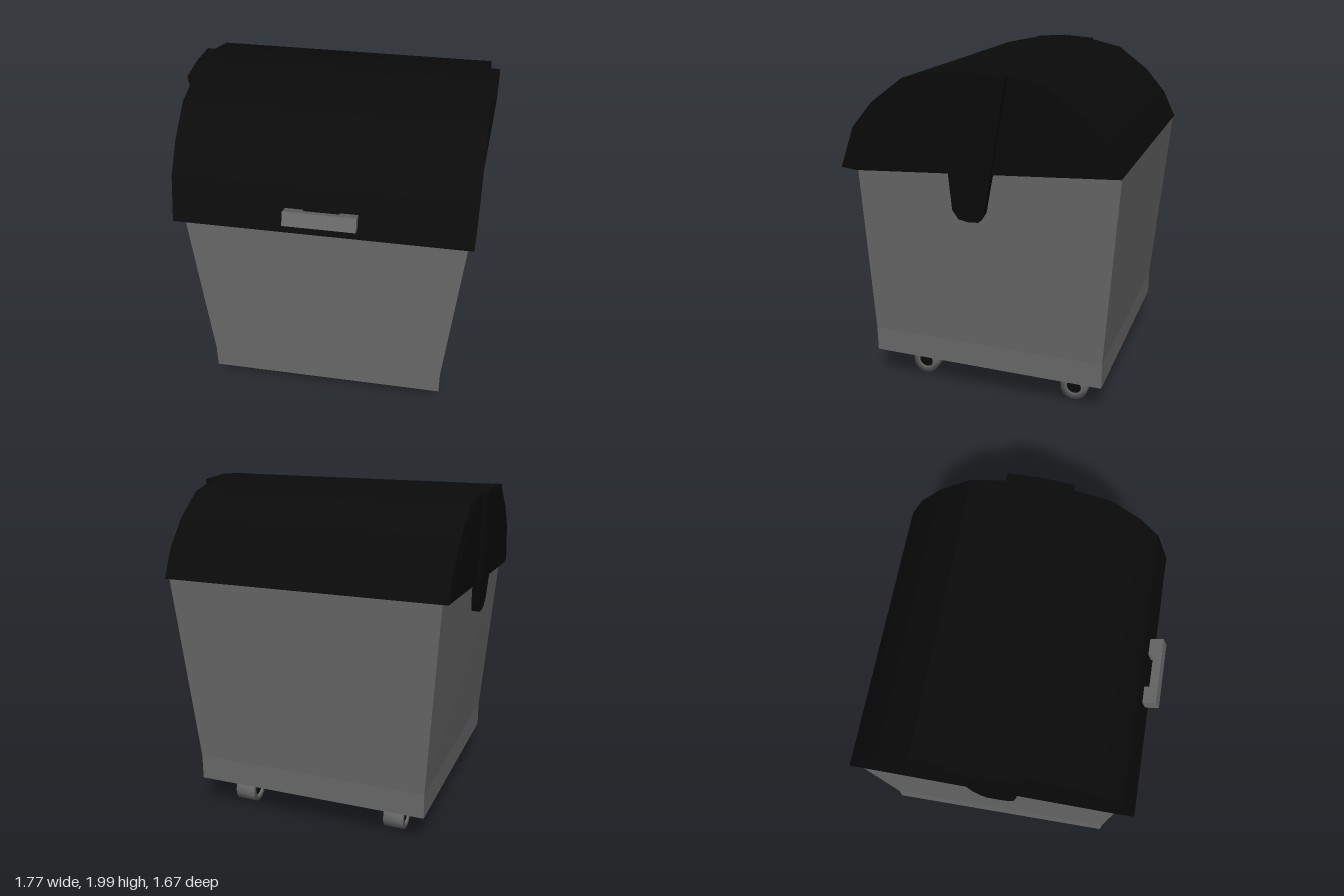
import * as THREE from 'three';

const grey = new THREE.MeshStandardMaterial({ color: 0x686868, flatShading: true });
const smoothGrey = new THREE.MeshStandardMaterial({ color: 0x686868 });
const black = new THREE.MeshStandardMaterial({ color: 0x0a0a0a, flatShading: true });

function add(parent, name, geometry, material, x = 0, y = 0, z = 0) {
  const mesh = new THREE.Mesh(geometry, material);
  mesh.name = name;
  mesh.position.set(x, y, z);
  parent.add(mesh);
  return mesh;
}

// Moves every vertex of a geometry by a rule
function reshape(geometry, rule) {
  const p = geometry.attributes.position;
  const v = new THREE.Vector3();
  for (let i = 0; i < p.count; i++) {
    rule(v.fromBufferAttribute(p, i));
    p.setXYZ(i, v.x, v.y, v.z);
  }
  geometry.computeVertexNormals();
  return geometry;
}

// Side profile of [z, y] points, extruded along x and centred on x = 0
function sideExtrude(points, width) {
  const shape = new THREE.Shape(points.map(([z, y]) => new THREE.Vector2(z, y)));
  const geometry = new THREE.ExtrudeGeometry(shape, { depth: width, bevelEnabled: false });
  return geometry.translate(0, 0, -width / 2).rotateY(-Math.PI / 2);
}

// Tapered tub: straight foot, flared walls, rim sloping up to the back
function bodyGeometry() {
  const rings = [
    { x: 0.71, front: 0.68, back: -0.745, yFront: 0.21, yBack: 0.21 },
    { x: 0.71, front: 0.681, back: -0.745, yFront: 0.36, yBack: 0.36 },
    { x: 0.8, front: 0.69, back: -0.835, yFront: 1.41, yBack: 1.495 },
  ];
  return reshape(new THREE.BoxGeometry(2, 2, 2, 1, 2, 1), (v) => {
    const r = rings[Math.round(v.y) + 1];
    const isFront = v.z > 0;
    v.set(Math.sign(v.x) * r.x, isFront ? r.yFront : r.yBack, isFront ? r.front : r.back);
  });
}

function addCaster(parent, x, z) {
  const caster = new THREE.Group();
  caster.name = 'caster';
  caster.position.set(x, 0, z);
  parent.add(caster);
  // Wheel ring with an open hub
  const ring = [[0.045, -0.06], [0.083, -0.06], [0.083, 0.06], [0.045, 0.06], [0.045, -0.06]];
  const profile = ring.map(([r, h]) => new THREE.Vector2(r, h));
  add(caster, 'wheel', new THREE.LatheGeometry(profile, 28).rotateZ(Math.PI / 2), smoothGrey, 0, 0.09, 0);
  add(caster, 'axle', new THREE.CylinderGeometry(0.046, 0.046, 0.1, 20).rotateZ(Math.PI / 2), black, 0, 0.09, 0);
  // Upright bracket with a short spur over the wheel
  const bracket = [[0.03, 0.12], [0.083, 0.13], [0.062, 0.155], [0.062, 0.22], [-0.025, 0.22], [-0.025, 0.13]];
  add(caster, 'bracket', sideExtrude(bracket, 0.088), black);
}

export function createModel() {
  const model = new THREE.Group();
  model.name = 'wheeledContainer';

  add(model, 'body', bodyGeometry(), grey);

  // Domed lid, slightly wider towards the top and narrower at the back
  const dome = [
    [0.78, 1.41], [0.69, 1.65], [0.56, 1.8], [0.37, 1.94], [0.16, 1.985], [-0.03, 2],
    [-0.23, 1.985], [-0.44, 1.94], [-0.63, 1.8], [-0.76, 1.65], [-0.838, 1.49], [0.69, 1.4],
  ];
  const lid = reshape(sideExtrude(dome, 2), (v) => {
    const t = (v.y - 1.41) / 0.59;
    const left = v.z < -0.4 ? 0.005 : 0.02;
    v.x = v.x < 0 ? -0.83 - left * t : 0.825 + 0.01 * t;
  });
  add(model, 'lid', lid, black);

  // Hinge arms, the left one hanging lower and turned slightly
  for (const arm of [
    { name: 'leftArm', side: 1, bottom: 1.17, outer: 0.845, top: 0.885, twist: 0.038 },
    { name: 'rightArm', side: -1, bottom: 1.25, outer: 0.833, top: 0.89, twist: 0.006 },
  ]) {
    const b = arm.bottom;
    const outline = [
      [0.16, 1.987], [-0.03, 2], [-0.235, 1.987], [-0.135, 1.44], [-0.09, b + 0.05],
      [-0.06, b + 0.005], [0.0, b], [0.06, b + 0.01], [0.095, b + 0.06], [0.11, 1.43],
    ];
    const thickness = 0.05;
    const geometry = reshape(sideExtrude(outline, thickness), (v) => {
      const t = (v.y - b) / (2 - b);
      const outer = THREE.MathUtils.lerp(arm.outer, arm.top, t) - arm.twist * (v.z + 0.235);
      v.x += arm.side * (outer - thickness / 2);
    });
    add(model, arm.name, geometry, black);
  }

  // Grip on the front of the lid, tilted with its surface
  const handle = new THREE.Group();
  handle.name = 'handle';
  handle.position.set(0, 1.53, 0.82);
  handle.rotation.x = -0.37;
  model.add(handle);
  add(handle, 'grip', new THREE.BoxGeometry(0.4, 0.08, 0.05), grey, 0, 0, -0.025);
  for (const side of [-1, 1]) {
    add(handle, 'gripEnd', new THREE.BoxGeometry(0.1, 0.08, 0.08), grey, side * 0.15, 0, -0.088);
  }

  for (const side of [-1, 1]) {
    addCaster(model, side * 0.49, 0.435);
    addCaster(model, side * 0.49, -0.54);
  }
  return model;
}
